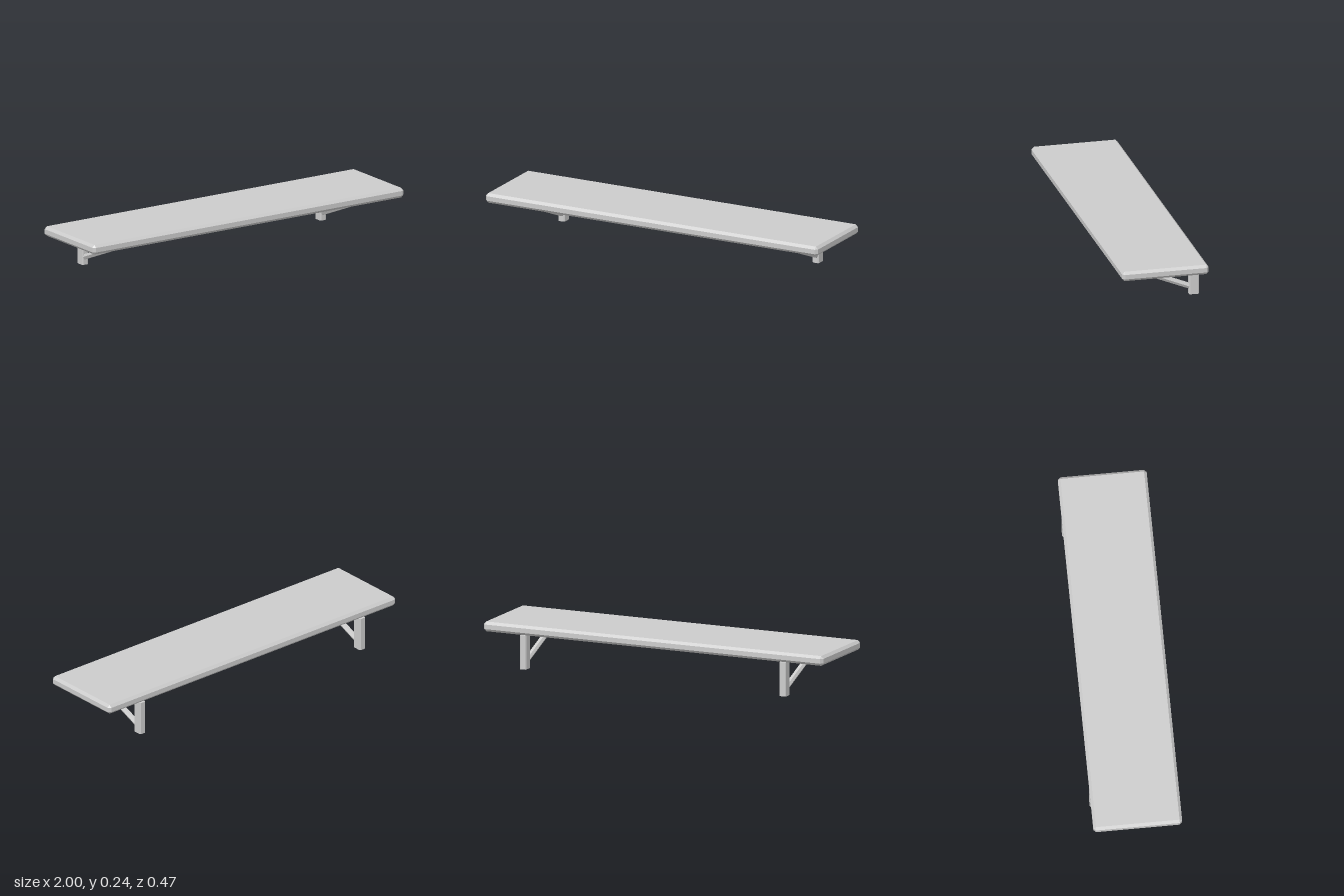
import * as THREE from 'three';
import { ConvexGeometry } from 'three/addons/geometries/ConvexGeometry.js';

// Box with all edges and corners cut at 45 degrees
function chamferedBox(w, h, d, c) {
  const points = [];
  for (const sx of [-1, 1]) for (const sy of [-1, 1]) for (const sz of [-1, 1]) {
    const x = w / 2, y = h / 2, z = d / 2;
    points.push(
      new THREE.Vector3(sx * x, sy * (y - c), sz * (z - c)),
      new THREE.Vector3(sx * (x - c), sy * y, sz * (z - c)),
      new THREE.Vector3(sx * (x - c), sy * (y - c), sz * z)
    );
  }
  return new ConvexGeometry(points);
}

// Upright post with cut vertical edges, standing on y = 0
function postGeometry(w, d, h, c) {
  const x = w / 2, y = d / 2;
  const outline = [
    [x, c - y], [x, y - c], [x - c, y], [c - x, y],
    [-x, y - c], [-x, c - y], [c - x, -y], [x - c, -y]
  ].map(([a, b]) => new THREE.Vector2(a, b));
  const geometry = new THREE.ExtrudeGeometry(new THREE.Shape(outline), { depth: h, bevelEnabled: false });
  return geometry.rotateX(-Math.PI / 2);
}

export function createModel() {
  const model = new THREE.Group();
  model.name = 'wallShelf';
  const grey = new THREE.MeshStandardMaterial({ color: 0xcccccc, flatShading: true });
  grey.name = 'light grey';

  // Shelf board
  const board = new THREE.Mesh(chamferedBox(2, 0.053, 0.473, 0.014), grey);
  board.name = 'board';
  board.position.y = 0.2105;
  model.add(board);

  // Brackets: a post at the back and a six-sided diagonal brace
  const postShape = postGeometry(0.038, 0.054, 0.184, 0.005);
  const low = new THREE.Vector3(0, 0.037, -0.2);
  const high = new THREE.Vector3(0, 0.17, 0.126);
  const run = high.clone().sub(low);
  const braceShape = new THREE.CylinderGeometry(0.016, 0.016, run.length(), 6).rotateY(Math.PI / 2);

  for (const [side, name] of [[1, 'left'], [-1, 'right']]) {
    const bracket = new THREE.Group();
    bracket.name = name + 'Bracket';
    bracket.position.x = side * 0.765;

    const post = new THREE.Mesh(postShape, grey);
    post.name = name + 'Post';
    post.position.z = -0.209;

    const brace = new THREE.Mesh(braceShape, grey);
    brace.name = name + 'Brace';
    brace.position.copy(low).add(high).multiplyScalar(0.5);
    brace.rotation.x = Math.atan2(run.z, run.y);

    bracket.add(post, brace);
    model.add(bracket);
  }
  return model;
}
